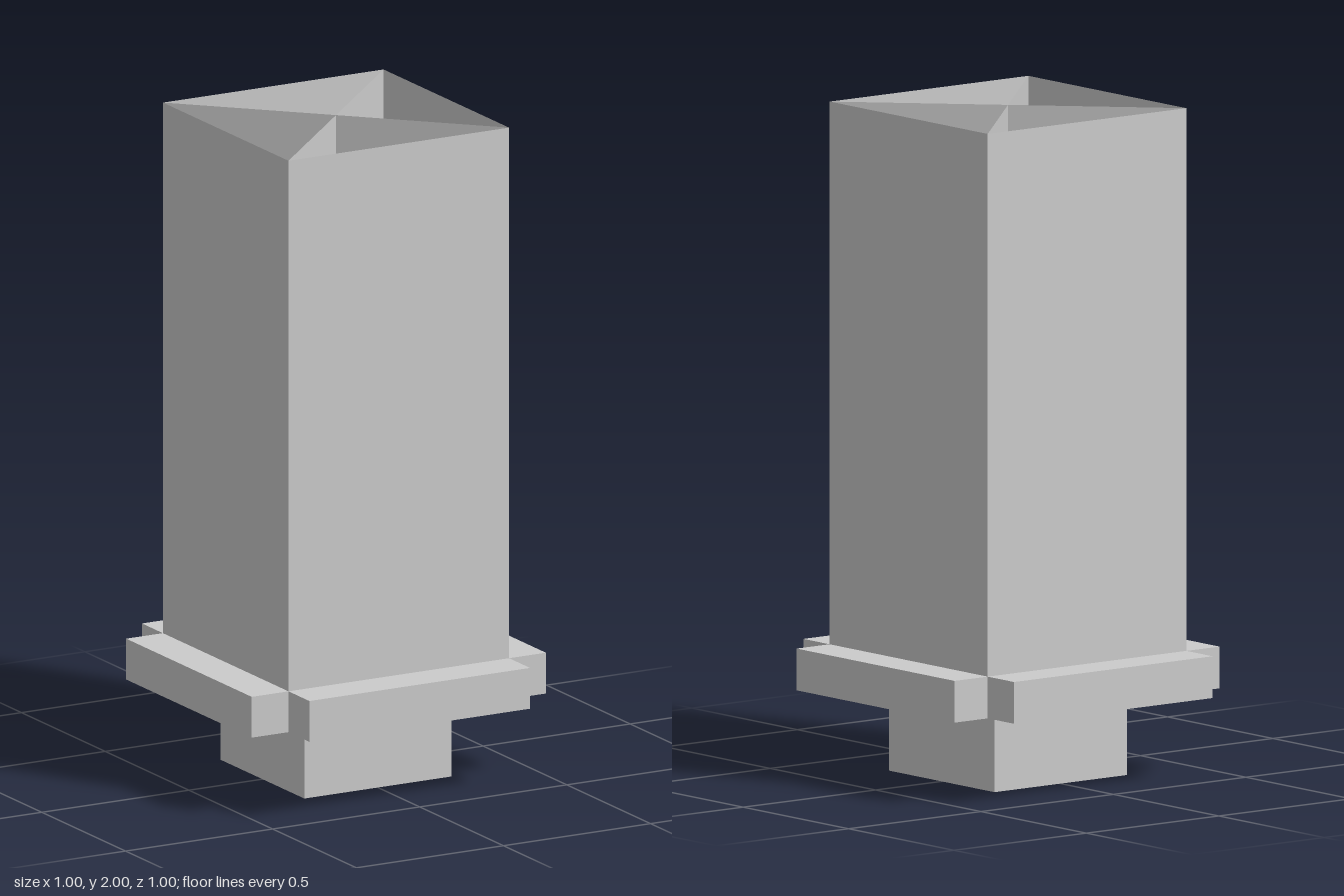
import * as THREE from 'three';

export function createModel() {
  const group = new THREE.Group();
  const solid = new THREE.MeshStandardMaterial({ color: 0xcccccc, flatShading: true });
  const sheet = new THREE.MeshStandardMaterial({ color: 0xcccccc, flatShading: true, side: THREE.DoubleSide });

  const baseTop = 0.25, collarTop = 0.375, top = 2;
  const inner = 0.375, outer = 0.5;

  // square foot
  const foot = new THREE.Mesh(new THREE.BoxGeometry(0.5, baseTop, 0.5), solid);
  foot.name = 'foot';
  foot.position.y = baseTop / 2;
  group.add(foot);

  // plus-shaped collar: a square slab with notched corners
  const outline = [];
  for (let i = 0; i < 4; i++) {
    const centre = new THREE.Vector2();
    for (const [x, y] of [[outer, -inner], [outer, inner], [inner, inner]]) {
      outline.push(new THREE.Vector2(x, y).rotateAround(centre, i * Math.PI / 2));
    }
  }
  const collarGeometry = new THREE.ExtrudeGeometry(new THREE.Shape(outline), {
    depth: collarTop - baseTop, bevelEnabled: false,
  });
  collarGeometry.rotateX(-Math.PI / 2);
  const collar = new THREE.Mesh(collarGeometry, solid);
  collar.name = 'collar';
  collar.position.y = baseTop;
  group.add(collar);

  // upright sheet, turned about the vertical axis and pushed out from it
  const height = top - collarTop;
  function addSheet(name, width, angle, offset) {
    const geometry = new THREE.PlaneGeometry(width, height);
    geometry.translate(0, collarTop + height / 2, offset);
    const mesh = new THREE.Mesh(geometry, sheet);
    mesh.name = name;
    mesh.rotation.y = angle;
    group.add(mesh);
  }

  // four walls of the open-topped shaft
  ['frontWall', 'leftWall', 'backWall', 'rightWall'].forEach((name, i) =>
    addSheet(name, inner * 2, i * Math.PI / 2, inner));

  // two crossed partitions running corner to corner inside the shaft
  for (const side of [1, -1]) {
    addSheet('diagonalPartition', inner * 2 * Math.SQRT2, side * Math.PI / 4, 0);
  }

  return group;
}
